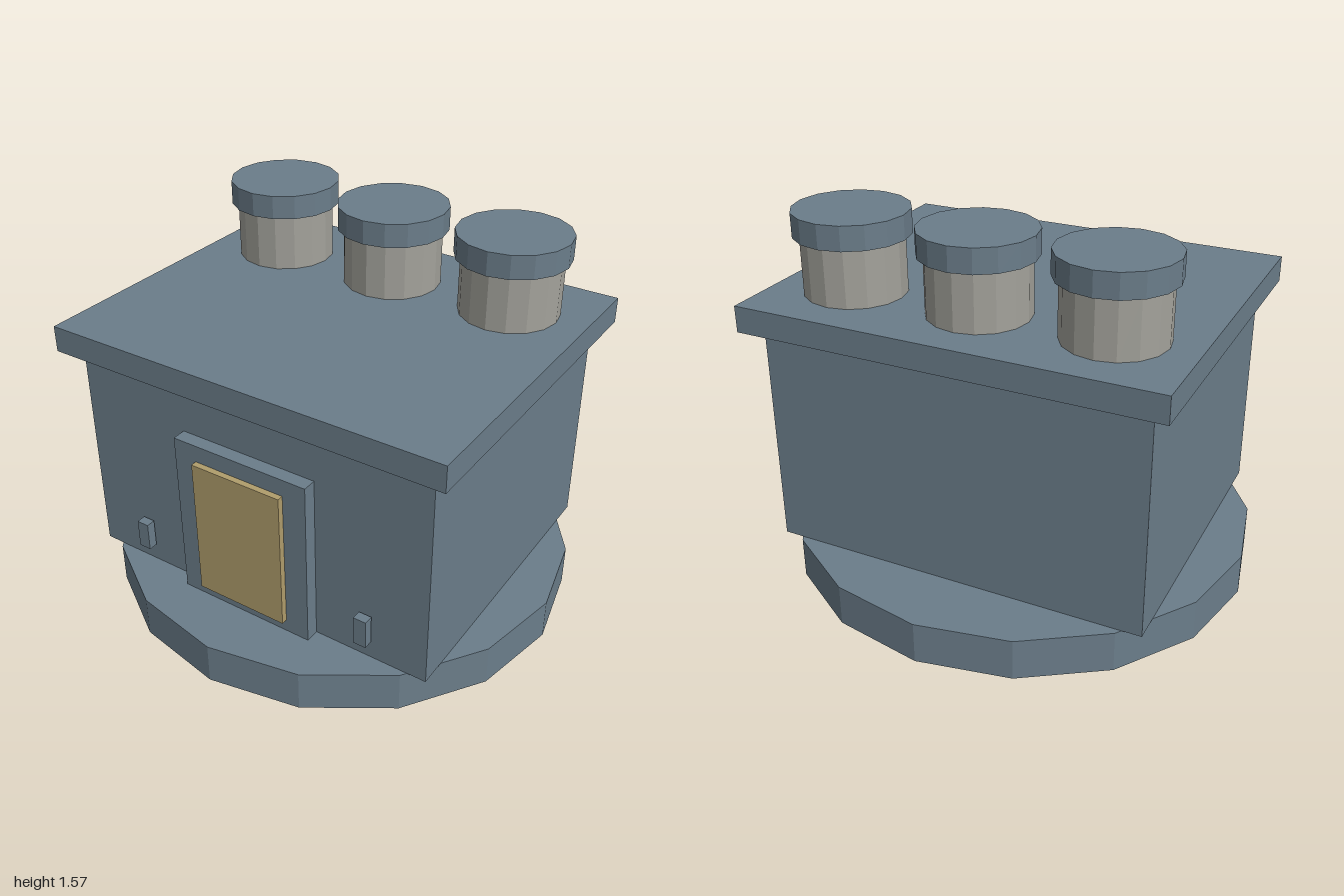
import * as THREE from 'three';

export function createModel() {
  const model = new THREE.Group();
  model.name = 'blockhouse';

  const material = (name, color) => {
    const m = new THREE.MeshStandardMaterial({ color, flatShading: true });
    m.name = name;
    return m;
  };
  const slate = material('slate blue', 0x6b7d8a);
  const stone = material('warm grey', 0xa3a29b);
  const gold = material('dull gold', 0xb09d6c);

  const add = (name, geometry, mat, x, y, z) => {
    const mesh = new THREE.Mesh(geometry, mat);
    mesh.name = name;
    mesh.position.set(x, y, z);
    model.add(mesh);
    return mesh;
  };
  // Box given by its centre x, width, and y and z ranges
  const box = (name, mat, x, w, y0, y1, z0, z1) =>
    add(name, new THREE.BoxGeometry(w, y1 - y0, z1 - z0), mat, x, (y0 + y1) / 2, (z0 + z1) / 2);
  // Upright prism given by its radius and y range
  const drum = (name, mat, r, sides, x, y0, y1, z) =>
    add(name, new THREE.CylinderGeometry(r, r, y1 - y0, sides), mat, x, (y0 + y1) / 2, z);

  // Sixteen-sided plinth, slightly shorter from front to back
  drum('base', slate, 1, 16, 0, 0, 0.175, 0).scale.z = 0.964;

  // Main block and overhanging roof slab
  box('body', slate, 0, 1.61, 0.175, 1.12, -0.658, 0.658);
  box('roof', slate, 0, 1.76, 1.12, 1.23, -0.73, 0.73);

  // Door in its raised frame
  box('doorFrame', slate, 0, 0.615, 0.175, 0.905, 0.65, 0.717);
  box('door', gold, 0, 0.41, 0.23, 0.832, 0.71, 0.743);

  // Small blocks on either side of the door
  for (const side of [-1, 1]) {
    box(side > 0 ? 'leftBlock' : 'rightBlock', slate, side * 0.54, 0.055, 0.263, 0.388, 0.668, 0.708);
  }

  // Row of three capped vents along the back of the roof
  for (const x of [-0.55, 0, 0.55]) {
    drum('ventShaft', stone, 0.208, 16, x, 1.23, 1.47, -0.382);
    drum('ventCap', slate, 0.235, 16, x, 1.47, 1.57, -0.382);
  }

  return model;
}
